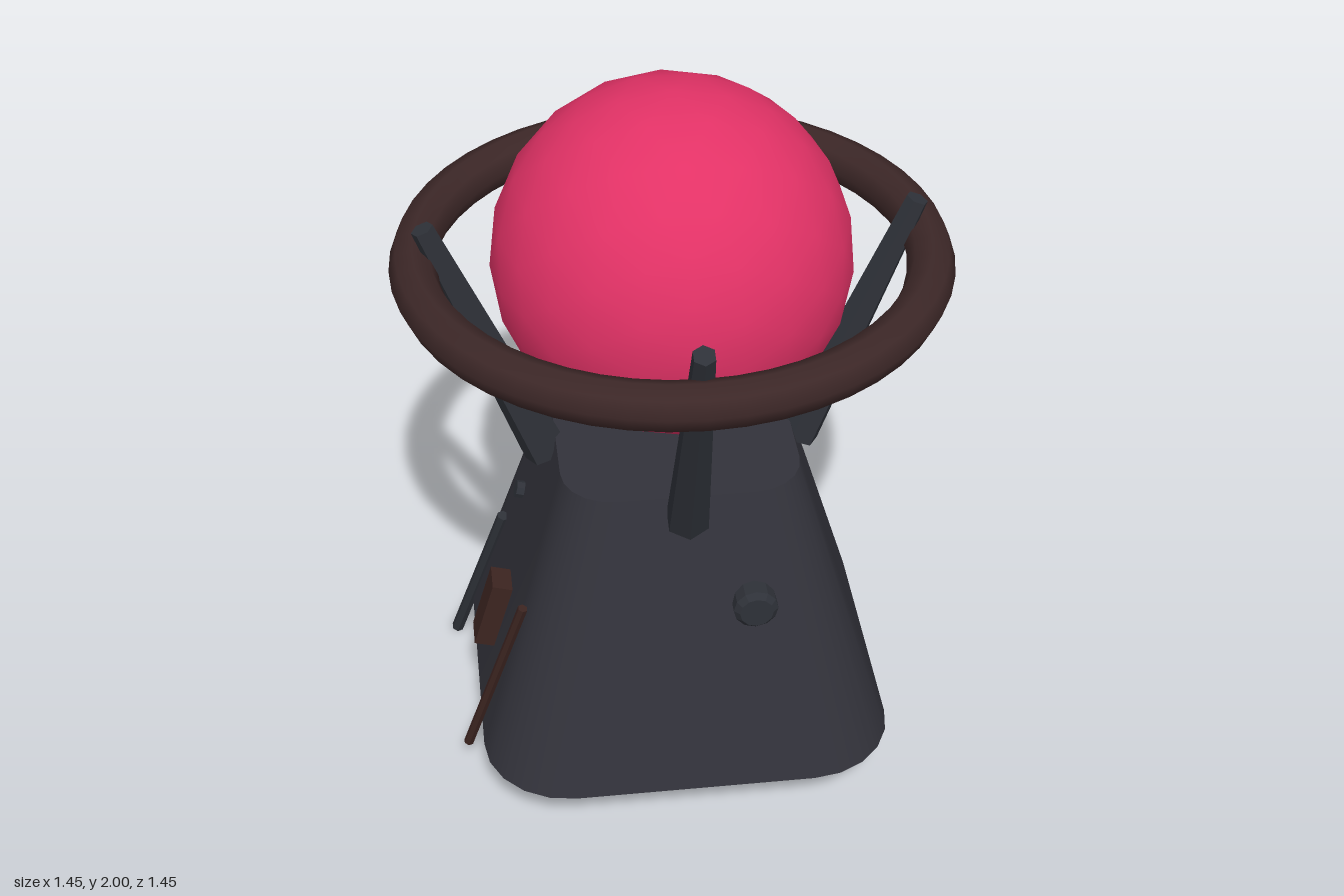
import * as THREE from 'three';

const mat = (name, color, flatShading = false) => {
  const m = new THREE.MeshStandardMaterial({ color, flatShading });
  m.name = name;
  return m;
};

// Outline of a rounded square, running counter-clockwise seen from above
function roundedSquare(half, radius, y, steps = 5) {
  const pts = [];
  for (let c = 0; c < 4; c++) {
    const mid = Math.PI / 4 + c * Math.PI / 2;
    const cx = Math.sign(Math.cos(mid)) * (half - radius);
    const cz = -Math.sign(Math.sin(mid)) * (half - radius);
    for (let i = 0; i <= steps; i++) {
      const a = (c + i / steps) * Math.PI / 2;
      pts.push([cx + radius * Math.cos(a), y, cz - radius * Math.sin(a)]);
    }
  }
  return pts;
}

function geometryFrom(points, index) {
  const g = new THREE.BufferGeometry();
  g.setAttribute('position', new THREE.Float32BufferAttribute(points.flat(), 3));
  g.setIndex(index);
  g.computeVertexNormals();
  return g;
}

// Smooth wall between two outlines
function wall(lower, upper) {
  const n = lower.length, index = [];
  for (let i = 0; i < n; i++) {
    const j = (i + 1) % n;
    index.push(i, j, n + j, i, n + j, n + i);
  }
  return geometryFrom([...lower, ...upper], index);
}

// Flat lid over an outline
function lid(outline, up) {
  const n = outline.length, index = [];
  for (let i = 0; i < n; i++) {
    const j = (i + 1) % n;
    index.push(...(up ? [n, i, j] : [n, j, i]));
  }
  return geometryFrom([...outline, [0, outline[0][1], 0]], index);
}

export function createModel() {
  const model = new THREE.Group();
  model.name = 'orbPedestal';

  const pink = mat('orbPink', 0xe23266);
  const slate = mat('pedestalSlate', 0x32323a);
  const steel = mat('fittingSteel', 0x2e3138, true);
  const ringBrown = mat('ringBrown', 0x3c2727);
  const boxBrown = mat('boxBrown', 0x3c2420, true);

  const add = (name, geometry, material, pos = [0, 0, 0], parent = model) => {
    const m = new THREE.Mesh(geometry, material);
    m.name = name;
    m.position.set(...pos);
    parent.add(m);
    return m;
  };

  // Tapered bar between two points
  const bar = (name, from, to, r0, r1, sides, material, parent = model) => {
    const a = new THREE.Vector3(...from), b = new THREE.Vector3(...to);
    const dir = b.clone().sub(a);
    const m = add(name, new THREE.CylinderGeometry(r1, r0, dir.length(), sides), material,
      a.clone().add(b).multiplyScalar(0.5).toArray(), parent);
    m.quaternion.setFromUnitVectors(new THREE.Vector3(0, 1, 0), dir.normalize());
    return m;
  };

  // Pedestal
  const lower = roundedSquare(0.567, 0.24, 0.16);
  const upper = roundedSquare(0.32, 0.136, 0.982);
  add('pedestalWall', wall(lower, upper), slate);
  add('pedestalTop', lid(upper, true), slate);
  add('pedestalBottom', lid(lower, false), slate);

  // Orb and the ring around it
  add('orb', new THREE.IcosahedronGeometry(0.47, 3), pink, [0, 1.53, 0]);
  const ring = add('ring', new THREE.TorusGeometry(0.665, 0.062, 8, 48), ringBrown, [0, 1.53, 0]);
  ring.rotation.x = Math.PI / 2;

  // Four leaning prongs
  for (let i = 0; i < 4; i++) {
    const prong = new THREE.Group();
    prong.name = 'prong' + (i + 1);
    prong.rotation.y = i * Math.PI / 2;
    model.add(prong);
    bar('prongBar', [0, 0.925, 0.345], [0, 1.65, 0.635], 0.06, 0.03, 6, steel, prong);
  }

  // Parts fixed to the sloping wall, turned outwards and tipped up
  const tilt = 0.29;
  const fix = (mesh, yaw) => mesh.rotation.set(-tilt, yaw, 0, 'YXZ');
  fix(add('upperBackBox', new THREE.BoxGeometry(0.09, 0.13, 0.07), boxBrown,
    [-0.25, 0.92, -0.335]), Math.PI + 0.28);
  fix(add('lowerBackBox', new THREE.BoxGeometry(0.105, 0.095, 0.07), boxBrown,
    [-0.29, 0.57, -0.445]), Math.PI + 0.28);
  fix(add('sideBox', new THREE.BoxGeometry(0.09, 0.21, 0.07), boxBrown,
    [-0.51, 0.425, 0.055]), -Math.PI / 2);

  // Front knob with a bevelled end
  const knob = new THREE.LatheGeometry([[0, -0.05], [0.06, -0.05], [0.06, 0.03], [0.045, 0.045], [0, 0.045]]
    .map(p => new THREE.Vector2(...p)), 12).rotateX(Math.PI / 2);
  add('frontKnob', knob, steel, [0.172, 0.68, 0.41]);

  // Small side stud
  const stud = new THREE.CylinderGeometry(0.025, 0.025, 0.05, 8).rotateX(Math.PI / 2);
  fix(add('sideStud', stud, steel, [-0.405, 0.69, -0.13]), -Math.PI / 2);

  // Two thin rods hanging down the side
  bar('steelRod', [-0.62, 0.008, -0.345], [-0.465, 0.53, -0.22], 0.018, 0.018, 6, steel);
  bar('brownRod', [-0.61, 0.065, 0.215], [-0.44, 0.625, 0.3], 0.014, 0.014, 6, boxBrown);

  return model;
}
